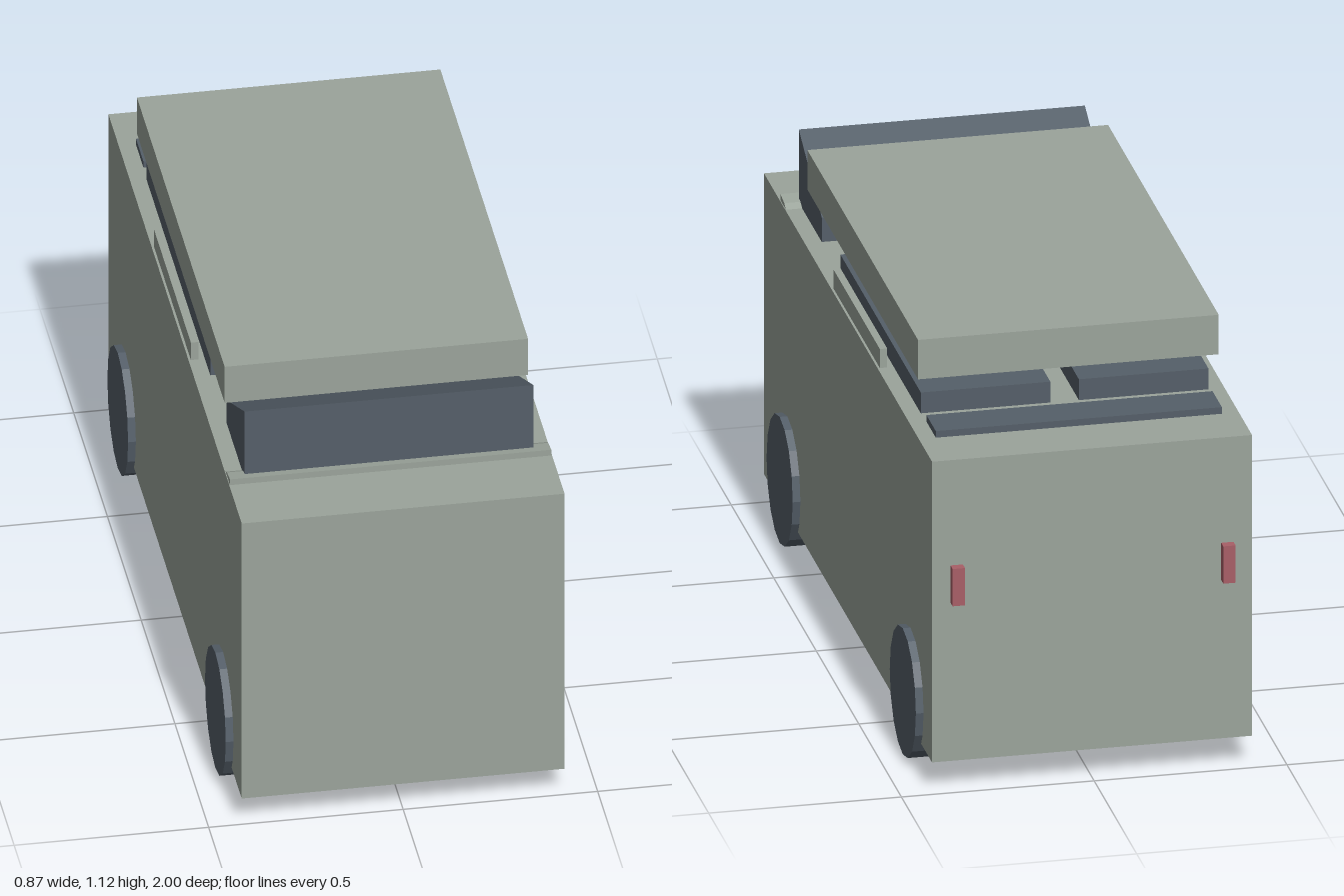
import * as THREE from 'three';

const mat = (name, color) => {
  const m = new THREE.MeshStandardMaterial({ color });
  m.name = name;
  return m;
};

export function createModel() {
  const van = new THREE.Group();
  van.name = 'van';
  const paint = mat('sage grey paint', 0x9ba49b);
  const dark = mat('dark slate', 0x555f69);
  const red = mat('tail light red', 0xa85f67);

  const add = (name, geometry, material) => {
    const mesh = new THREE.Mesh(geometry, material);
    mesh.name = name;
    van.add(mesh);
    return mesh;
  };

  // Box given by its limits on each axis
  const box = (name, material, [x0, x1], [y0, y1], [z0, z1]) =>
    add(name, new THREE.BoxGeometry(x1 - x0, y1 - y0, z1 - z0), material)
      .position.set((x0 + x1) / 2, (y0 + y1) / 2, (z0 + z1) / 2);

  // Side profile of [z, y] points, extruded across the full width
  const prism = (name, material, halfWidth, profile) => {
    const shape = new THREE.Shape(profile.map(([z, y]) => new THREE.Vector2(-z, y)));
    const geometry = new THREE.ExtrudeGeometry(shape, { depth: 2 * halfWidth, bevelEnabled: false });
    geometry.translate(0, 0, -halfWidth).rotateY(Math.PI / 2);
    add(name, geometry, material);
  };

  // Body and raised roof
  box('body', paint, [-0.415, 0.415], [0.077, 0.9], [-0.975, 1]);
  box('roof', paint, [-0.39, 0.39], [1.012, 1.12], [-0.697, 0.603]);

  // Windscreen wedge and the low cowl in front of it
  prism('windscreen', dark, 0.371, [[0.79, 0.9], [0.52, 0.9], [0.52, 0.967], [0.79, 1.1]]);
  prism('cowl', paint, 0.413, [[0.815, 0.895], [0.74, 0.895], [0.77, 0.91], [0.815, 0.917]]);

  // Rear window
  box('rearWindow', dark, [-0.371, 0.371], [0.895, 0.918], [-0.82, -0.71]);

  for (const side of [1, -1]) {
    const span = (a, b) => (side > 0 ? [a, b] : [-b, -a]);

    // Side windows, rails and tail lights
    box('sideWindow', dark, span(0.037, 0.373), [0.895, 0.957], [-0.653, 0.292]);
    box('sideRail', paint, span(0.39, 0.409), [0.895, 0.952], [-0.335, 0.212]);
    box('tailLight', red, span(0.335, 0.367), [0.51, 0.612], [-1, -0.97]);

    // Slightly oval wheels
    for (const z of [0.725, -0.722]) {
      const tyre = new THREE.CylinderGeometry(1, 1, 0.09, 16).toNonIndexed();
      tyre.rotateZ(Math.PI / 2).scale(1, 0.1725, 0.1535);
      tyre.computeVertexNormals();
      add('wheel', tyre, dark).position.set(side * 0.39, 0.1725, z);
    }
  }
  return van;
}
